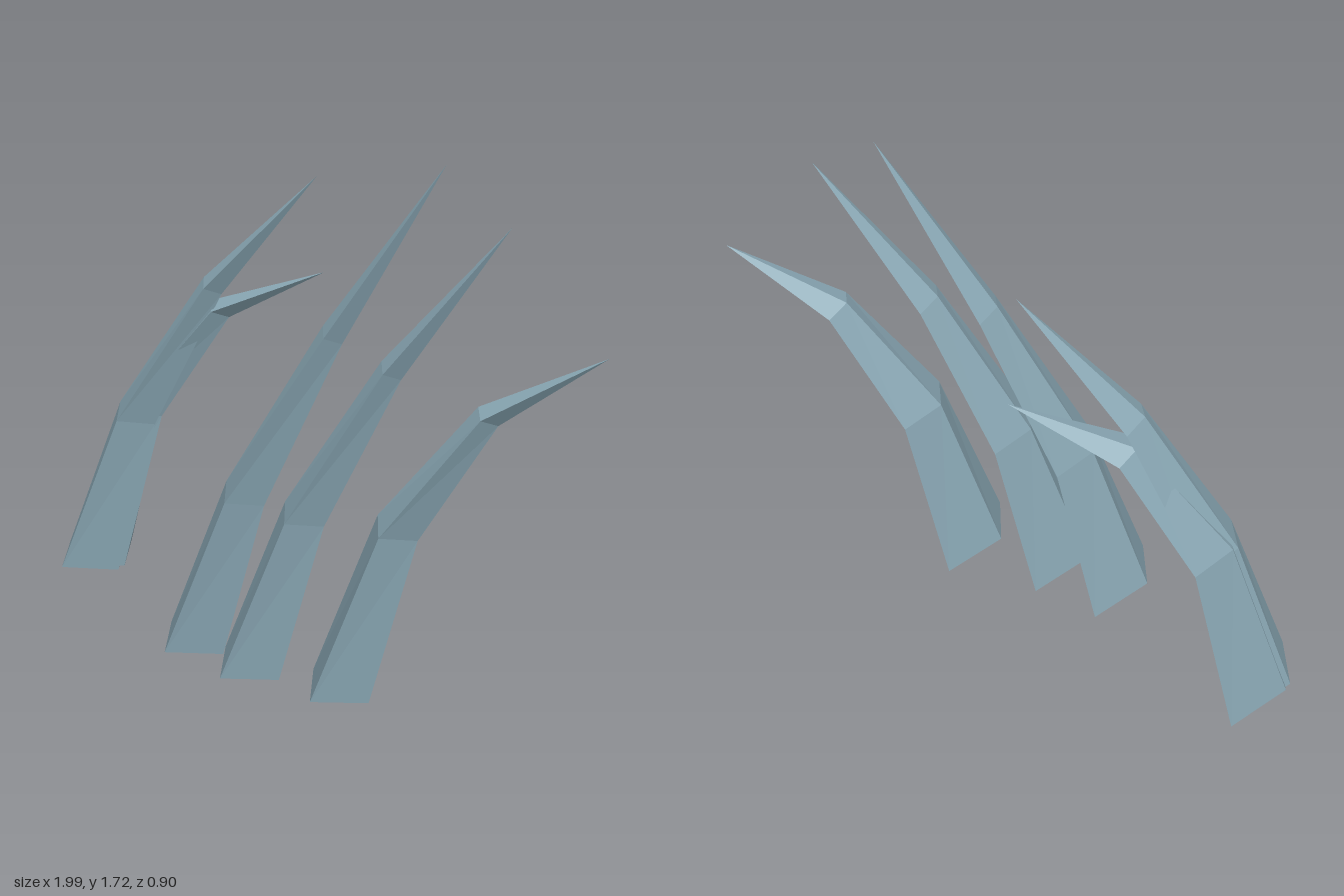
import * as THREE from 'three';

// Half-diagonals of the diamond section at each level: toward the front, toward the left side (+x)
const SECTIONS = [
  { f: [0, 0.034, 0.18], r: [0.106, -0.028, 0] },
  { f: [0.009, 0.022, 0.128], r: [0.074, -0.024, 0] },
  { f: [0.012, 0.015, 0.07], r: [0.036, -0.023, 0] },
];

// Section centres from base to upper bend, then the tip
const BLADES = [
  ['thumbBladeTall', [-0.887, 0.038, -0.02], [-0.755, 0.59, -0.125], [-0.527, 1.07, -0.265], [-0.21, 1.478, -0.42]],
  ['thumbBladeShort', [-0.887, 0.038, -0.055], [-0.753, 0.607, -0.162], [-0.522, 0.975, -0.3], [-0.2, 1.13, -0.453]],
  ['tallestBlade', [-0.249, 0.038, 0.235], [-0.112, 0.58, 0.143], [0.118, 1.138, -0.015], [0.428, 1.72, -0.163]],
  ['middleBlade', [-0.005, 0.038, 0.265], [0.129, 0.583, 0.158], [0.358, 1.09, 0.02], [0.674, 1.577, -0.138]],
  ['shortBlade', [0.312, 0.038, 0.22], [0.447, 0.607, 0.11], [0.678, 1.0, -0.028], [1.0, 1.217, -0.18]],
];

// Four-sided tapering claw with a closed base and pointed tip
function bladeGeometry(centres, tip) {
  const rings = centres.map((c, i) => {
    const { f, r } = SECTIONS[i];
    const corner = (v, s) => c.map((n, k) => n + s * v[k]);
    return [corner(f, 1), corner(r, 1), corner(f, -1), corner(r, -1)];
  });
  const points = [];
  const tri = (...p) => p.forEach((v) => points.push(...v));
  const [F, R, B, L] = rings[0];
  tri(F, B, R);
  tri(F, L, B);
  for (let i = 0; i < 4; i++) {
    const j = (i + 1) % 4;
    for (let k = 0; k < 2; k++) {
      const lo = rings[k], hi = rings[k + 1];
      tri(lo[i], lo[j], hi[j]);
      tri(lo[i], hi[j], hi[i]);
    }
    tri(rings[2][i], rings[2][j], tip);
  }
  const g = new THREE.BufferGeometry();
  g.setAttribute('position', new THREE.Float32BufferAttribute(points, 3));
  g.computeVertexNormals();
  return g;
}

export function createModel() {
  const group = new THREE.Group();
  group.name = 'clawBlades';
  const steel = new THREE.MeshStandardMaterial({ color: 0x8aa8b5 });
  steel.name = 'blueGreySteel';
  for (const [name, base, mid, upper, tip] of BLADES) {
    const blade = new THREE.Mesh(bladeGeometry([base, mid, upper], tip), steel);
    blade.name = name;
    group.add(blade);
  }
  return group;
}
